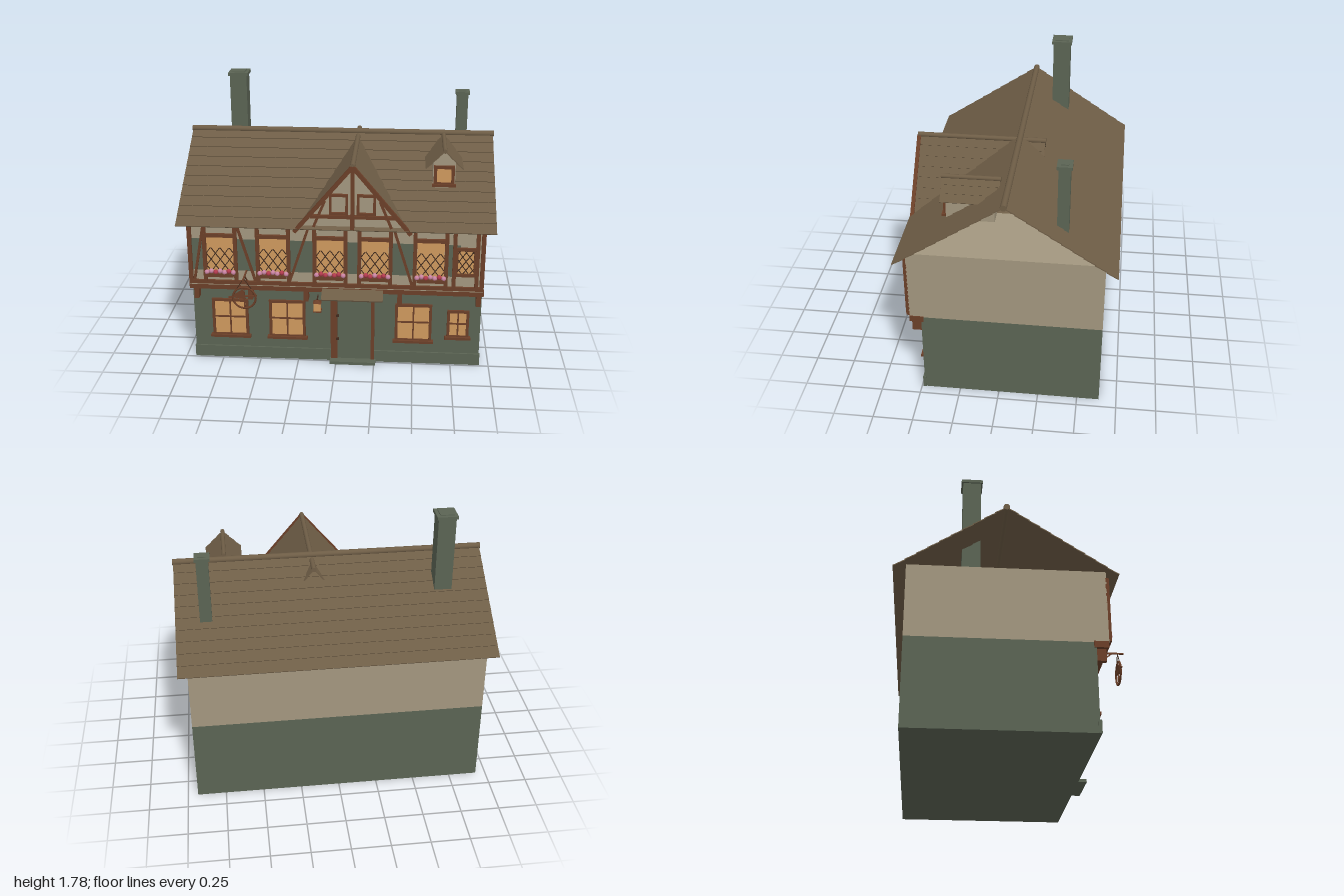
import * as THREE from 'three';

const paint = (name, color) => {
  const m = new THREE.MeshStandardMaterial({ color });
  m.name = name;
  return m;
};

export function createModel() {
  const stone = paint('greenStone', 0x5b6454);
  const plaster = paint('plaster', 0xa3977f);
  const timber = paint('timber', 0x6b3f28);
  const glow = paint('litGlass', 0xcf9a5e);
  const shingle = paint('shingle', 0x6e5d46);
  const iron = paint('darkIron', 0x3f2a1e);
  const pink = paint('pinkFlower', 0xcb85a3);
  const red = paint('redFlower', 0xb33c4e);
  const house = new THREE.Group();
  house.name = 'house';

  const add = (name, geo, mat, x = 0, y = 0, z = 0, parent = house) => {
    const m = new THREE.Mesh(geo, mat);
    m.name = name;
    m.position.set(x, y, z);
    parent.add(m);
    return m;
  };
  // box given by its extents
  const block = (name, mat, x0, x1, y0, y1, z0, z1) =>
    add(name, new THREE.BoxGeometry(x1 - x0, y1 - y0, z1 - z0), mat, (x0 + x1) / 2, (y0 + y1) / 2, (z0 + z1) / 2);
  // straight bar between two points
  const bar = (name, mat, a, b, w, d = w) => {
    const p = new THREE.Vector3(...a), q = new THREE.Vector3(...b), dir = q.clone().sub(p);
    const m = add(name, new THREE.BoxGeometry(w, dir.length(), d), mat);
    m.position.copy(p).add(q).multiplyScalar(0.5);
    m.quaternion.setFromUnitVectors(new THREE.Vector3(0, 1, 0), dir.normalize());
    return m;
  };
  // rectangular frame on the facade
  const frame = (name, x0, x1, y0, y1, z, w, d) => {
    for (const x of [x0, x1]) block(name + 'Side', timber, x - w / 2, x + w / 2, y0, y1, z, z + d);
    for (const y of [y0, y1]) block(name + 'Rail', timber, x0 - w / 2, x1 + w / 2, y - w / 2, y + w / 2, z, z + d);
  };

  // walls
  block('lowerWalls', stone, -0.935, 0.935, 0, 0.56, -0.64, 0.48);
  block('upperWalls', plaster, -0.935, 0.935, 0.56, 1.03, -0.64, 0.555);
  block('plinth', stone, -0.94, 0.94, 0, 0.08, 0.47, 0.49);

  // pitched roof of overlapping shingle courses, ridge along local x
  const pitchedRoof = (name, length, run, rise, courses, ridgeRadius) => {
    const g = new THREE.Group();
    g.name = name;
    const angle = Math.atan2(rise, run), step = Math.hypot(run, rise) / courses;
    for (const side of [0, Math.PI]) {
      const slope = new THREE.Group();
      slope.name = name + 'Slope';
      slope.rotation.y = side;
      for (let i = 0; i < courses; i++) {
        const t = (i + 0.5) / courses;
        const c = add('shingleCourse', new THREE.BoxGeometry(length, 0.006, step * 1.04), shingle, 0, -rise * t, run * t, slope);
        c.rotation.x = angle - 0.06;
      }
      g.add(slope);
    }
    const roll = add(name + 'Ridge', new THREE.CylinderGeometry(ridgeRadius, ridgeRadius, length + 0.01, 12), shingle, 0, 0, 0, g);
    roll.rotation.z = Math.PI / 2;
    house.add(g);
    return g;
  };
  pitchedRoof('mainRoof', 1.985, 0.667, 0.44, 10, 0.02).position.set(0, 1.425, -0.045);
  const cross = pitchedRoof('crossGableRoof', 0.82, 0.355, 0.43, 8, 0.016);
  cross.rotation.y = Math.PI / 2;
  cross.position.set(0.11, 1.4, 0.205);
  const dormerRoof = pitchedRoof('dormerRoof', 0.35, 0.115, 0.115, 3, 0.014);
  dormerRoof.rotation.y = Math.PI / 2;
  dormerRoof.position.set(0.67, 1.425, 0.187);

  // vertical prism from an outline facing +z
  const prism = (name, mat, pts, z0, z1) =>
    add(name, new THREE.ExtrudeGeometry(new THREE.Shape(pts.map(p => new THREE.Vector2(...p))),
      { depth: z1 - z0, bevelEnabled: false }), mat, 0, 0, z0);

  // cross gable front
  prism('gableWall', plaster, [[-0.22, 0.99], [0.44, 0.99], [0.11, 1.385]], 0.585, 0.6);
  for (const s of [-1, 1]) {
    bar('bargeBoard', timber, [0.11 + s * 0.36, 0.965, 0.612], [0.11, 1.395, 0.612], 0.024, 0.024);
    bar('gableBrace', timber, [0.11 + s * 0.24, 1.0, 0.605], [0.11 + s * 0.17, 1.17, 0.605], 0.016);
    const x = 0.11 + s * 0.085;
    frame('gableWindow', x - 0.05, x + 0.05, 1.09, 1.21, 0.6, 0.016, 0.018);
  }
  block('gableTieBeam', timber, -0.15, 0.37, 1.06, 1.08, 0.598, 0.62);
  block('gableKingPost', timber, 0.098, 0.122, 0.99, 1.38, 0.598, 0.624);

  // dormer
  prism('dormerWalls', plaster, [[0.6, 1.165], [0.74, 1.165], [0.74, 1.345], [0.67, 1.415], [0.6, 1.345]], 0.04, 0.335);
  block('dormerGlass', glow, 0.62, 0.72, 1.21, 1.31, 0.335, 0.34);
  frame('dormerFrame', 0.615, 0.725, 1.205, 1.315, 0.335, 0.02, 0.015);
  block('dormerSill', timber, 0.595, 0.745, 1.19, 1.205, 0.335, 0.36);

  // chimneys
  const chimney = (x0, x1, y0, y1, z0, z1) => {
    block('chimneyStack', stone, x0, x1, y0, y1, z0, z1);
    block('chimneyCap', stone, x0 - 0.01, x1 + 0.01, y1 - 0.02, y1, z0 - 0.01, z1 + 0.01);
    block('chimneyTop', stone, x0 + 0.012, x1 - 0.012, y1, y1 + 0.006, z0 + 0.012, z1 - 0.012);
  };
  chimney(-0.762, -0.65, 1.0, 1.77, -0.305, -0.19);
  chimney(0.765, 0.84, 1.125, 1.628, -0.41, -0.34);

  // jetty beam, rails and corbels
  block('jettyBeam', timber, -0.94, 0.94, 0.527, 0.567, 0.465, 0.552);
  block('sillRail', timber, -0.935, 0.935, 0.572, 0.597, 0.55, 0.57);
  block('eaveRail', timber, -0.935, 0.935, 0.97, 0.99, 0.55, 0.57);
  for (const x of [-0.9, -0.55, -0.19, 0.41, 0.91])
    block('corbel', timber, x - 0.015, x + 0.015, 0.452, 0.527, 0.478, 0.54);
  for (const x of [-0.922, 0.922]) block('cornerPost', timber, x - 0.013, x + 0.013, 0.59, 0.985, 0.55, 0.572);

  // slanted braces of the upper storey
  for (const [a, b] of [[-0.83, -0.9], [-0.62, -0.51], [-0.165, -0.29], [0.365, 0.485]])
    bar('wallBrace', timber, [a, 0.98, 0.56], [b, 0.6, 0.56], 0.016, 0.018);

  // diagonal window leading, clipped to a rectangle
  const lattice = (x0, x1, y0, y1, z, n) => {
    const w = x1 - x0, h = y1 - y0, slope = 1.4;
    for (let i = 0; i < n; i++) {
      const c = y0 - w * slope + ((i + 0.6) / n) * (h + w * slope);
      const t0 = Math.max(0, (y0 - c) / slope), t1 = Math.min(w, (y1 - c) / slope);
      if (t1 - t0 < 0.01) continue;
      bar('leading', iron, [x0 + t0, c + slope * t0, z], [x0 + t1, c + slope * t1, z], 0.005);
      bar('leading', iron, [x1 - t0, c + slope * t0, z], [x1 - t1, c + slope * t1, z], 0.005);
    }
  };

  // upper windows with shutters, lattice and flower boxes
  const petal = new THREE.SphereGeometry(0.016, 8, 6);
  [-0.73, -0.393, -0.032, 0.25, 0.598].forEach((x, k) => {
    block('upperGlass', glow, x - 0.085, x + 0.085, 0.63, 0.9, 0.555, 0.56);
    for (const s of [-1, 1]) {
      block('windowPost', timber, x + s * 0.098 - 0.012, x + s * 0.098 + 0.012, 0.59, 0.985, 0.55, 0.572);
      const c = x + s * 0.147;
      block('shutter', stone, c - 0.038, c + 0.038, 0.665, 0.88, 0.552, 0.558);
    }
    block('windowLintel', timber, x - 0.1, x + 0.1, 0.895, 0.918, 0.55, 0.574);
    lattice(x - 0.085, x + 0.085, 0.645, 0.82, 0.562, 5);
    block('flowerBox', timber, x - 0.085, x + 0.085, 0.632, 0.655, 0.56, 0.597);
    for (let i = 0; i < 7; i++) {
      const isRed = k === 2 || k === 3 ? i % 3 !== 0 : i % 3 === 2;
      add('flower', petal, isRed ? red : pink, x - 0.084 + i * 0.028, 0.662 + (i % 2) * 0.008, 0.585);
    }
  });
  block('smallUpperGlass', glow, 0.762, 0.872, 0.68, 0.86, 0.555, 0.56);
  frame('smallUpperFrame', 0.758, 0.876, 0.68, 0.855, 0.553, 0.02, 0.018);
  for (const x of [0.746, 0.888]) block('windowPost', timber, x - 0.012, x + 0.012, 0.59, 0.985, 0.55, 0.572);
  lattice(0.765, 0.87, 0.69, 0.845, 0.562, 5);

  // ground floor windows
  for (const [x0, x1, y0, y1] of [[-0.805, -0.585, 0.17, 0.42], [-0.43, -0.21, 0.17, 0.42],
    [0.392, 0.612, 0.17, 0.42], [0.728, 0.852, 0.205, 0.385]]) {
    const x = (x0 + x1) / 2, y = y0 + (y1 - y0) * 0.52;
    block('lowerGlass', glow, x0, x1, y0, y1, 0.48, 0.485);
    frame('lowerFrame', x0, x1, y0, y1, 0.478, 0.018, 0.016);
    block('mullion', timber, x - 0.005, x + 0.005, y0, y1, 0.48, 0.492);
    block('transom', timber, x0, x1, y - 0.005, y + 0.005, 0.48, 0.492);
    block('windowSill', timber, x0 - 0.022, x1 + 0.022, y0 - 0.015, y0 + 0.002, 0.478, 0.51);
  }

  // door, step and canopy
  block('door', stone, 0.01, 0.235, 0.02, 0.445, 0.48, 0.492);
  block('doorPostLeft', timber, -0.035, 0.008, 0.015, 0.45, 0.478, 0.5);
  block('doorPostRight', timber, 0.228, 0.25, 0.015, 0.45, 0.478, 0.5);
  block('doorLintel', timber, -0.04, 0.262, 0.447, 0.48, 0.478, 0.505);
  block('doorstep', stone, -0.04, 0.26, 0, 0.02, 0.485, 0.545);
  for (const y of [0.16, 0.33]) block('doorHinge', iron, 0.0, 0.02, y, y + 0.015, 0.49, 0.506);
  const canopy = add('canopy', new THREE.BoxGeometry(0.39, 0.01, 0.11), shingle, 0.11, 0.533, 0.587);
  canopy.rotation.x = 0.38;
  block('canopyEdge', timber, -0.08, 0.3, 0.505, 0.518, 0.615, 0.63);
  for (const x of [-0.05, 0.27]) bar('canopyBrace', timber, [x, 0.455, 0.49], [x, 0.51, 0.625], 0.014);

  // lantern
  block('lanternGlass', glow, -0.14, -0.094, 0.395, 0.45, 0.522, 0.566);
  block('lanternBase', timber, -0.144, -0.09, 0.388, 0.396, 0.518, 0.57);
  const cap = add('lanternCap', new THREE.ConeGeometry(0.038, 0.022, 4), timber, -0.117, 0.461, 0.544);
  cap.rotation.y = Math.PI / 4;
  bar('lanternBracket', iron, [-0.117, 0.472, 0.48], [-0.117, 0.472, 0.55], 0.007);

  // hanging round sign
  const sx = -0.565, sy = 0.533, sz = 0.677;
  add('signRing', new THREE.TorusGeometry(0.072, 0.007, 6, 28), timber, sx, sy, sz);
  bar('signArm', timber, [sx, 0.667, 0.555], [sx, 0.667, 0.715], 0.009);
  bar('signArmBrace', timber, [sx, 0.6, 0.56], [sx, 0.665, 0.64], 0.007);
  bar('signCrossbar', timber, [sx - 0.1, 0.535, sz], [sx + 0.08, 0.55, sz], 0.009);
  bar('signSpoke', timber, [sx, sy - 0.07, sz], [sx, sy + 0.07, sz], 0.007);
  for (const s of [-1, 1]) bar('signChain', iron, [sx, 0.665, sz], [sx + s * 0.055, sy + 0.048, sz], 0.004);
  prism('signPennant', timber, [[sx - 0.09, 0.537], [sx + 0.01, 0.525], [sx - 0.01, 0.59]], sz - 0.004, sz + 0.004);

  return house;
}
